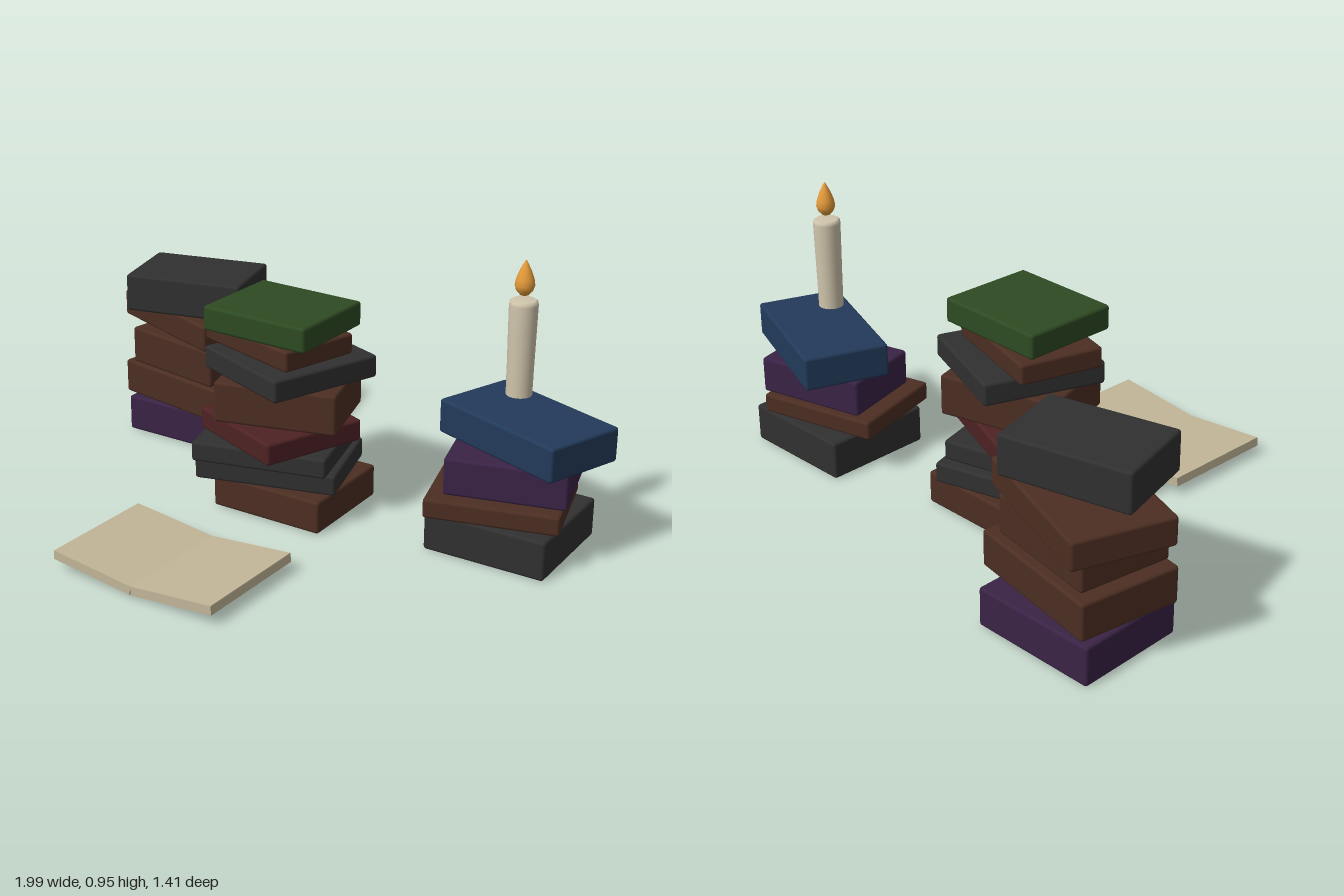
import * as THREE from 'three';
import { RoundedBoxGeometry } from 'three/addons/geometries/RoundedBoxGeometry.js';

const colours = {
  charcoal: 0x303030, brown: 0x4c2e22, maroon: 0x4e2224, purple: 0x3a2346,
  green: 0x2d4a22, blue: 0x223a5a, page: 0xc2b698, wax: 0xd0c5ac, flame: 0xe39a3a,
};

// Each book: colour, x, z, bottom, top, width, depth, turn about y
const stacks = {
  leftStack: [
    ['charcoal', 0.685, -0.265, 0.005, 0.137, 0.415, 0.385, 0.04],
    ['brown', 0.6625, -0.245, 0.14, 0.206, 0.43, 0.355, 0.29],
    ['purple', 0.69, -0.267, 0.208, 0.333, 0.39, 0.295, 0.29],
    ['blue', 0.713, -0.295, 0.335, 0.45, 0.50, 0.287, -0.32],
  ],
  rightStack: [
    ['purple', -0.687, -0.467, 0.005, 0.135, 0.425, 0.37, 0.03],
    ['brown', -0.667, -0.44, 0.138, 0.261, 0.48, 0.34, -0.14],
    ['brown', -0.672, -0.43, 0.264, 0.396, 0.395, 0.31, -0.14],
    ['brown', -0.705, -0.47, 0.398, 0.492, 0.514, 0.324, -0.32],
    ['charcoal', -0.675, -0.415, 0.494, 0.627, 0.425, 0.29, 0.27],
  ],
  middleStack: [
    ['brown', -0.05, -0.125, 0.005, 0.118, 0.41, 0.36, 0.03],
    ['charcoal', -0.1, -0.11, 0.12, 0.19, 0.48, 0.34, 0.3],
    ['charcoal', -0.1, -0.08, 0.192, 0.26, 0.46, 0.343, 0.28],
    ['maroon', -0.07, -0.07, 0.262, 0.337, 0.39, 0.37, -0.35],
    ['brown', -0.05, -0.088, 0.339, 0.477, 0.41, 0.31, 0.3],
    ['charcoal', -0.045, -0.09, 0.48, 0.556, 0.397, 0.405, -0.34],
    ['brown', -0.0925, -0.09, 0.56, 0.63, 0.415, 0.28, -0.27],
    ['green', -0.065, -0.075, 0.633, 0.716, 0.39, 0.33, 0],
  ],
};

export function createModel() {
  const model = new THREE.Group();
  const mats = {};
  for (const [name, color] of Object.entries(colours)) {
    mats[name] = new THREE.MeshStandardMaterial({ color });
    mats[name].name = name;
  }
  const add = (parent, name, geometry, material) => {
    const mesh = new THREE.Mesh(geometry, mats[material]);
    mesh.name = name;
    parent.add(mesh);
    return mesh;
  };

  // Stacks of closed books with softened edges
  for (const [name, books] of Object.entries(stacks)) {
    const stack = new THREE.Group();
    stack.name = name;
    books.forEach(([colour, x, z, y0, y1, w, d, turn], i) => {
      const book = add(stack, `book${i + 1}`, new RoundedBoxGeometry(w, y1 - y0, d, 2, 0.01), colour);
      book.position.set(x, (y0 + y1) / 2, z);
      book.rotation.y = turn;
    });
    model.add(stack);
  }

  // Open book: two halves rising away from the spine
  const openBook = new THREE.Group();
  openBook.name = 'openBook';
  openBook.position.set(-0.075, 0, 0.503);
  for (const side of [-1, 1]) {
    const half = add(openBook, side < 0 ? 'rightPages' : 'leftPages', new THREE.BoxGeometry(0.305, 0.03, 0.406), 'page');
    half.position.set(side * 0.153, 0.039, 0);
    half.rotation.z = side * 0.1;
  }
  model.add(openBook);

  // Candle above the left stack, with a teardrop flame
  const candle = new THREE.Group();
  candle.name = 'candle';
  candle.position.set(0.692, 0, -0.267);
  const lathe = (pts) => new THREE.LatheGeometry(pts.map(([r, y]) => new THREE.Vector2(r, y)), 24);
  add(candle, 'waxBody', lathe([
    [0, 0.517], [0.041, 0.517], [0.041, 0.517], [0.042, 0.62], [0.044, 0.74], [0.045, 0.81],
    [0.043, 0.82], [0.036, 0.825], [0, 0.825],
  ]), 'wax');
  add(candle, 'flame', lathe([
    [0, 0.835], [0.014, 0.841], [0.026, 0.855], [0.031, 0.871], [0.028, 0.89],
    [0.019, 0.915], [0.008, 0.938], [0, 0.952],
  ]), 'flame');
  model.add(candle);

  return model;
}
